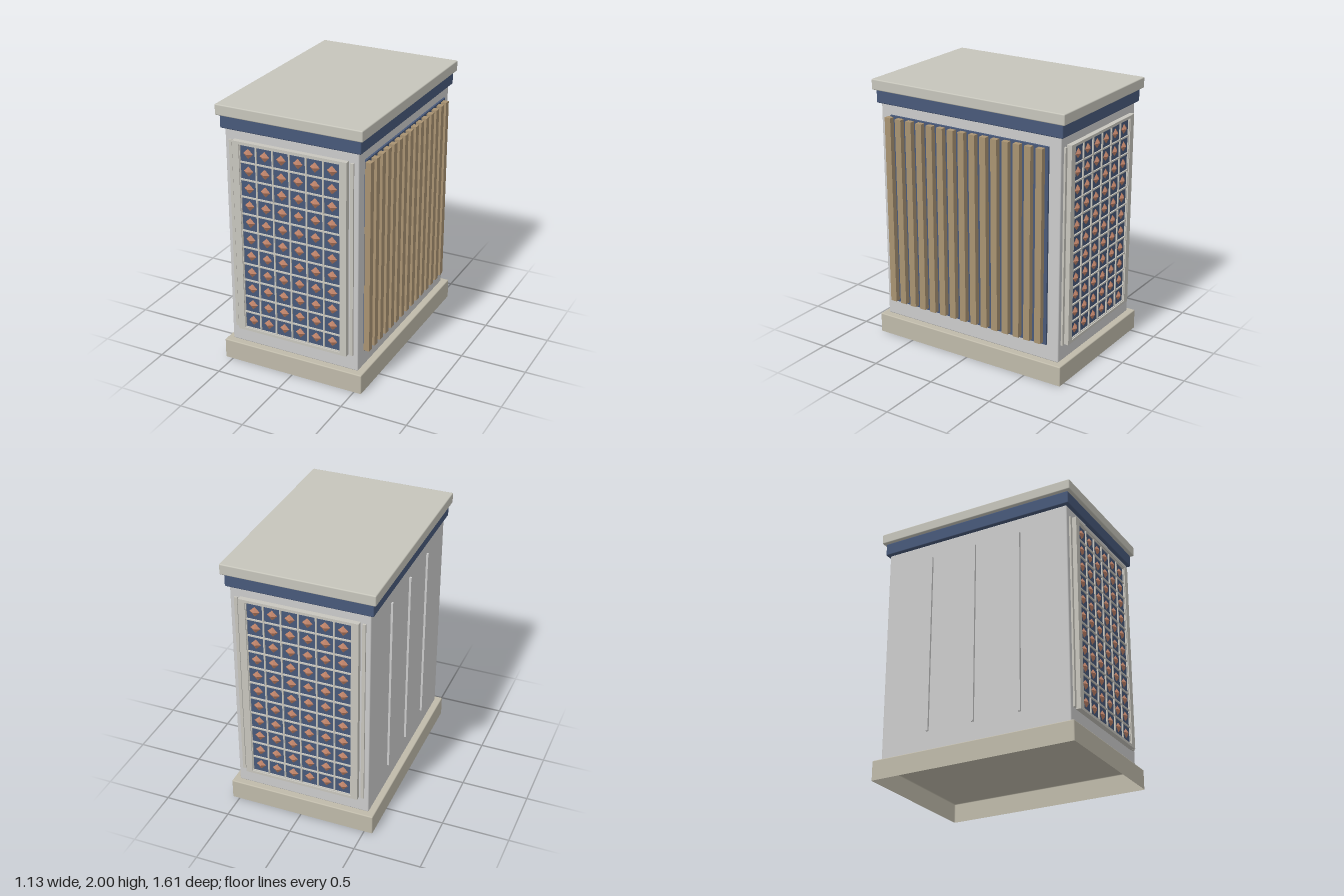
import * as THREE from 'three';
import { RoundedBoxGeometry } from 'three/addons/geometries/RoundedBoxGeometry.js';

const mat = (color) => new THREE.MeshStandardMaterial({ color });
const stone = mat(0xcccccc);
const capStone = mat(0xc6c5bb);
const plinthStone = mat(0xbfbaaa);
const trim = mat(0xc8c6be);
const blue = mat(0x48597a);
const wood = mat(0xa99372);
const copper = mat(0xc0846a);
copper.flatShading = true;
plinthStone.side = THREE.DoubleSide;

function add(parent, name, geometry, material, x, y, z) {
  const mesh = new THREE.Mesh(geometry, material);
  mesh.name = name;
  mesh.position.set(x, y, z);
  parent.add(mesh);
  return mesh;
}

// Softly rounded slab standing between two heights
function slab(parent, name, w, y0, y1, d, material) {
  const geo = new RoundedBoxGeometry(w, y1 - y0, d, 2, 0.008);
  return add(parent, name, geo, material, 0, (y0 + y1) / 2, 0);
}

// Plinth shell: rounded box with its underside removed
function plinthGeometry(w, h, d) {
  const r = 0.008;
  const src = new RoundedBoxGeometry(w, h + r, d, 2, r);
  src.translate(0, (h - r) / 2, 0);
  const pos = src.attributes.position, nor = src.attributes.normal;
  const p = [], n = [];
  for (let i = 0; i < pos.count; i += 3) {
    if ([0, 1, 2].some((k) => pos.getY(i + k) < -0.0005)) continue;
    for (let k = i; k < i + 3; k++) {
      p.push(pos.getX(k), pos.getY(k), pos.getZ(k));
      n.push(nor.getX(k), nor.getY(k), nor.getZ(k));
    }
  }
  const geo = new THREE.BufferGeometry();
  geo.setAttribute('position', new THREE.Float32BufferAttribute(p, 3));
  geo.setAttribute('normal', new THREE.Float32BufferAttribute(n, 3));
  return geo;
}

// Tiled panel, built facing +z with z = 0 on the wall
function tiledPanel() {
  const panel = new THREE.Group();
  const cols = 6, rows = 11, px = 0.129, py = 0.131, cy = 1.012;
  const w = cols * px, h = rows * py;

  // Surrounding frame
  const rect = (path, hw, hh) => path.moveTo(-hw, -hh).lineTo(hw, -hh).lineTo(hw, hh).lineTo(-hw, hh).closePath();
  const outline = rect(new THREE.Shape(), 0.438, 0.741);
  outline.holes.push(rect(new THREE.Path(), w / 2, h / 2));
  add(panel, 'panelFrame', new THREE.ExtrudeGeometry(outline, { depth: 0.038, bevelEnabled: false }), trim, 0, cy, 0);

  // Blue tile backing and raised grid bars
  add(panel, 'tileBacking', new THREE.BoxGeometry(w, h, 0.02), blue, 0, cy, 0.01);
  const vBar = new THREE.BoxGeometry(0.011, h, 0.03);
  const hBar = new THREE.BoxGeometry(w, 0.011, 0.03);
  for (let i = 0; i <= cols; i++) add(panel, 'gridBarVertical', vBar, trim, (i - cols / 2) * px, cy, 0.015);
  for (let j = 0; j <= rows; j++) add(panel, 'gridBarHorizontal', hBar, trim, 0, cy + (j - rows / 2) * py, 0.015);

  // Four-sided copper stud on every tile
  const stud = new THREE.ConeGeometry(0.04, 0.022, 4).rotateX(Math.PI / 2);
  for (let i = 0; i < cols; i++) {
    for (let j = 0; j < rows; j++) {
      add(panel, 'stud', stud, copper, (i - (cols - 1) / 2) * px, cy + (j - (rows - 1) / 2) * py, 0.03);
    }
  }

  // Slim side strips beside the frame
  for (const s of [-1, 1]) add(panel, 'sideStrip', new THREE.BoxGeometry(0.023, 1.468, 0.014), trim, s * 0.466, 1.01, 0.007);
  return panel;
}

export function createModel() {
  const model = new THREE.Group();
  model.name = 'cabinet';
  const core = new THREE.Group();
  core.name = 'cabinetCore';
  core.position.x = -0.003;
  model.add(core);

  // Stacked main volumes
  add(core, 'plinth', plinthGeometry(1.12, 0.15, 1.6), plinthStone, 0, 0, 0);
  slab(core, 'body', 1.024, 0.152, 1.822, 1.51, stone);
  slab(core, 'neckBand', 1.076, 1.822, 1.92, 1.56, blue);
  slab(core, 'cap', 1.12, 1.92, 2.0, 1.608, capStone);

  // Tiled panels on front and back
  for (const s of [1, -1]) {
    const panel = tiledPanel();
    panel.name = s > 0 ? 'frontPanel' : 'backPanel';
    panel.position.z = s * 0.755;
    if (s < 0) panel.rotation.y = Math.PI;
    core.add(panel);
  }

  // Slatted screen on the +x side
  add(core, 'screenBacking', new THREE.BoxGeometry(0.016, 1.469, 1.332), blue, 0.519, 1.01, 0.002);
  const slat = new THREE.BoxGeometry(0.042, 1.443, 0.05);
  for (let i = 0; i < 15; i++) add(core, 'slat', slat, wood, 0.546, 1.013, 0.663 - i * 0.0912);

  // Three thin ribs on the -x side
  const rib = new THREE.BoxGeometry(0.018, 1.394, 0.018);
  for (const z of [-0.37, 0, 0.37]) add(core, 'rib', rib, stone, -0.519, 1.004, z);

  return model;
}
